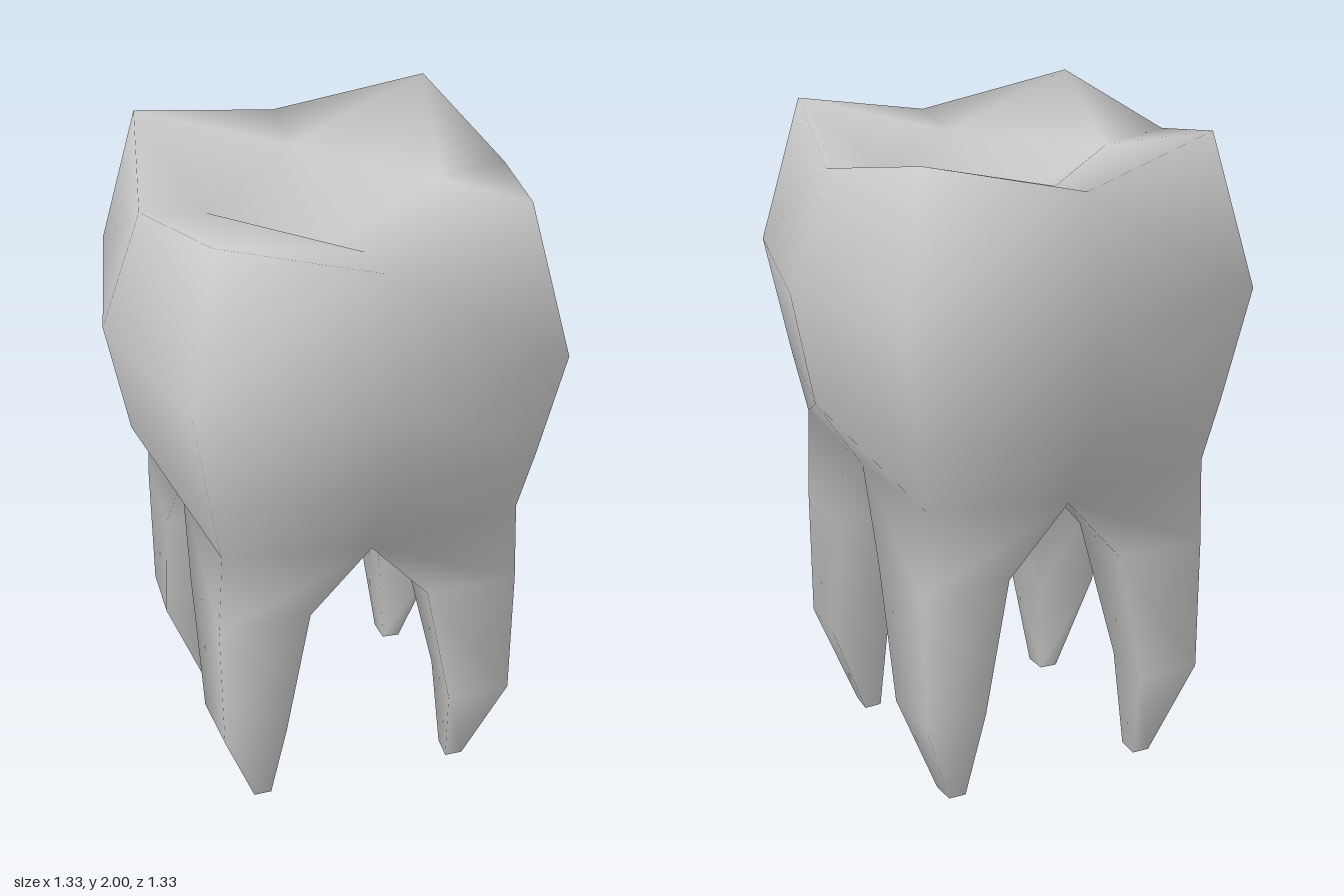
import * as THREE from 'three';

export function createModel() {
  const group = new THREE.Group();
  const enamel = new THREE.MeshStandardMaterial({ color: 0xc8c8c8 });
  enamel.name = 'enamel grey';

  const positions = [], index = [];
  const vert = (x, y, z) => positions.push(x, y, z) / 3 - 1;
  const tri = (a, b, c) => index.push(a, b, c);
  const quad = (a, b, c, d) => { tri(a, b, d); tri(b, c, d); };

  // Joins an upper ring to a lower ring
  const bridge = (up, low) => up.forEach((_, k) => {
    const n = (k + 1) % up.length;
    // mirror the diagonals so that each side stays symmetric
    if (k % 2) { tri(up[k], up[n], low[k]); tri(up[n], low[n], low[k]); }
    else { tri(up[k], up[n], low[n]); tri(up[k], low[n], low[k]); }
  });

  // Eight points of the crown, alternating side middles and corners
  const dirs = [[1, 0], [1, 1], [0, 1], [-1, 1], [-1, 0], [-1, -1], [0, -1], [1, -1]];
  const ring = (corner, cornerY, mid, sideY, frontY = sideY) => dirs.map(([x, z], k) => {
    const r = k % 2 ? corner : mid;
    return vert(x * r, k % 2 ? cornerY : x ? sideY : frontY, z * r);
  });

  // Crown wall from the rim down to the neck
  const rings = [
    ring(0.45, 2.0, 0.545, 1.9),
    ring(0.545, 1.55, 0.667, 1.55),
    ring(0.487, 1.2, 0.6, 1.2),
    ring(0.45, 1.0, 0.455, 0.98, 0.945),
  ];
  for (let i = 0; i < 3; i++) bridge(rings[i], rings[i + 1]);
  const rim = rings[0], neck = rings[3];

  // Hollow chewing surface: four inner points around a low centre
  const pit = vert(0, 1.7, 0);
  const inner = dirs.map(([x, z], k) => (k % 2 ? -1 : vert(x * 0.355, 1.87, z * 0.355)));
  for (let k = 0; k < 8; k += 2) {
    const n = (k + 2) % 8, c = rim[k + 1];
    tri(rim[k], inner[k], c);
    tri(c, inner[k], inner[n]);
    tri(c, inner[n], rim[n]);
    tri(inner[k], pit, inner[n]);
  }

  // Four tapering roots: height, outer x, outer z, inner x, inner z, skew
  const levels = [
    [0.73, 0.475, 0.44, 0.195, 0.165, 0.012],
    [0.31, 0.467, 0.445, 0.272, 0.258, 0.01],
    [0, 0.35, 0.36, 0.295, 0.285, 0.004],
  ];
  const fork = vert(0, 1.0, 0);
  for (let k = 0; k < 8; k += 2) {
    const [sx, sz] = dirs[k + 1];
    let above = [neck[k], neck[k + 1], neck[(k + 2) % 8], fork];
    for (const [y, xo, zo, xi, zi, d] of levels) {
      const sidePoint = [xo, zi - d], frontPoint = [xi - d, zo];
      const swap = k % 4 !== 0;
      const corners = [
        swap ? frontPoint : sidePoint,
        [xo - d, zo],
        swap ? sidePoint : frontPoint,
        [xi, zi],
      ];
      const below = corners.map(([x, z]) => vert(sx * x, y, sz * z));
      bridge(above, below);
      above = below;
    }
    quad(...above); // root tip
  }

  const geometry = new THREE.BufferGeometry();
  geometry.setAttribute('position', new THREE.Float32BufferAttribute(positions, 3));
  geometry.setIndex(index);
  geometry.computeVertexNormals();

  const tooth = new THREE.Mesh(geometry, enamel);
  tooth.name = 'crownAndRoots';
  group.add(tooth);
  group.name = 'tooth';
  return group;
}
